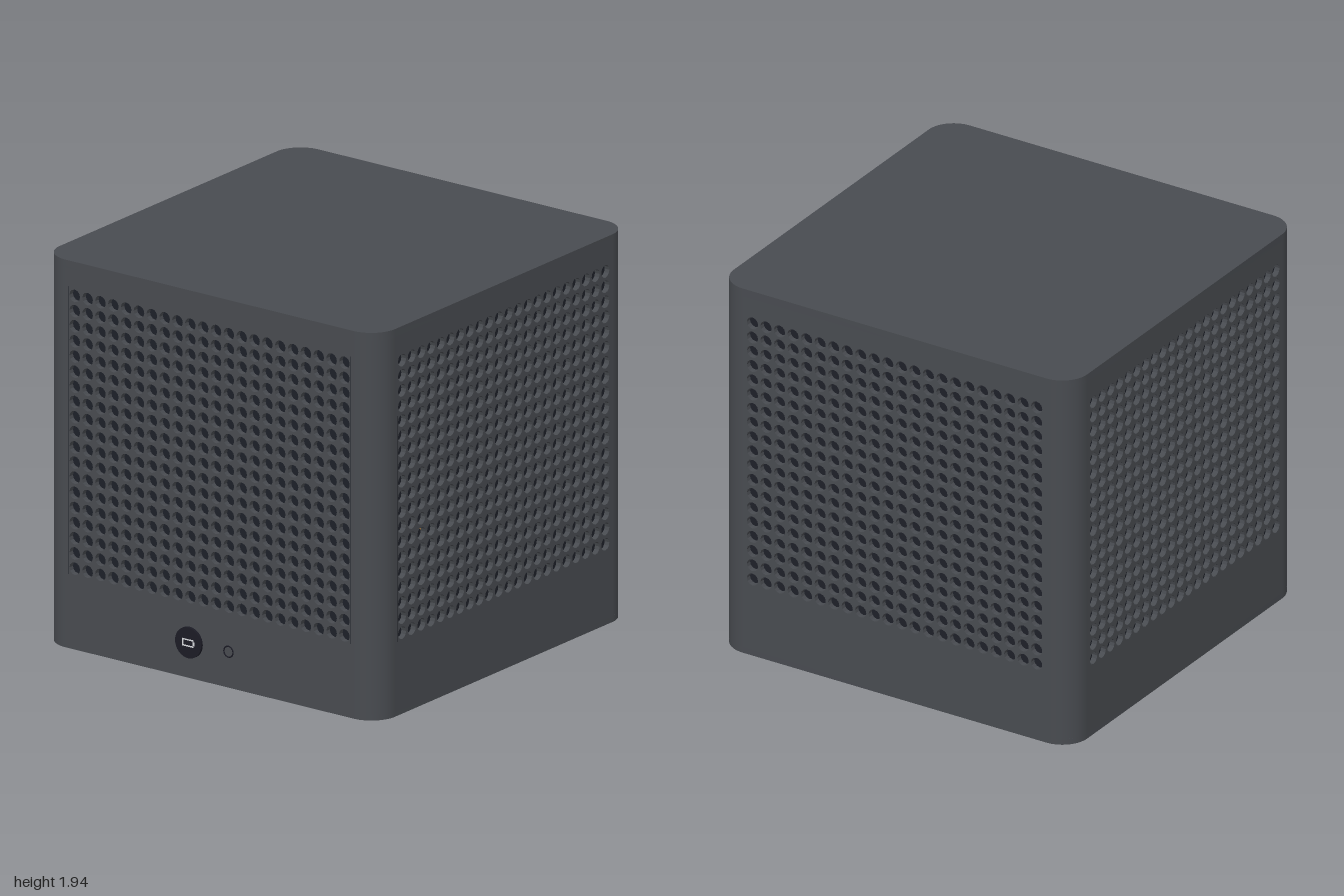
import * as THREE from 'three';
import { toCreasedNormals } from 'three/addons/utils/BufferGeometryUtils.js';

const mat = (name, color, side = THREE.FrontSide) => {
  const m = new THREE.MeshStandardMaterial({ color, side });
  m.name = name;
  return m;
};
const M = {
  shell: mat('charcoal shell', 0x484b50),
  liner: mat('dark liner', 0x1d2028, THREE.DoubleSide),
  panel: mat('base panel grey', 0x585d60),
  black: mat('black plastic', 0x1b1b25),
  metal: mat('cell silver', 0xc8cacc),
  trim: mat('trim grey', 0xb4b9bb),
  amber: mat('amber tape', 0xcc8833),
  orange: mat('orange cable', 0xe0912a),
  white: mat('icon white', 0xd8dadd),
};

const HALF = 0.9925, R = 0.14, HEIGHT = 1.94, RIM = 0.03, CAP = 0.04, WALL = 0.028;

function add(parent, name, geo, material, x = 0, y = 0, z = 0) {
  const mesh = new THREE.Mesh(geo, material);
  mesh.name = name;
  mesh.position.set(x, y, z);
  parent.add(mesh);
  return mesh;
}

function roundedRect(w, h, r, Type = THREE.Shape) {
  const s = new Type();
  s.absarc(w - r, h - r, r, 0, Math.PI / 2);
  s.absarc(-w + r, h - r, r, Math.PI / 2, Math.PI);
  s.absarc(-w + r, -h + r, r, Math.PI, Math.PI * 1.5);
  s.absarc(w - r, -h + r, r, Math.PI * 1.5, Math.PI * 2);
  s.closePath();
  return s;
}

// rectangle outline; half sizes a, b around a centre
function rect(a, b, cx = 0, cy = 0, Type = THREE.Shape) {
  return new Type([[-a, -b], [a, -b], [a, b], [-a, b]].map(([x, y]) => new THREE.Vector2(cx + x, cy + y)));
}

const extrude = (shape, depth) =>
  new THREE.ExtrudeGeometry(shape, { depth, bevelEnabled: false, curveSegments: 12 });

// horizontal plate: shape y becomes -z, thickness grows upwards
const plate = (shape, depth) => toCreasedNormals(extrude(shape, depth).rotateX(-Math.PI / 2), 0.6);

function frame(a, b, t, depth) {
  const s = rect(a, b);
  s.holes.push(rect(a - t, b - t, 0, 0, THREE.Path));
  return plate(s, depth);
}

// one perforated wall, 22 x 19 round holes
function wallGeometry() {
  const w = HALF - R, top = HEIGHT - CAP;
  const s = rect(w, (top - RIM) / 2, 0, (top + RIM) / 2);
  for (let i = 0; i < 22; i++) {
    for (let j = 0; j < 19; j++) {
      const cx = (i - 10.5) * 0.076, cy = 0.405 + j * 0.0758;
      const pts = [];
      for (let k = 0; k < 12; k++) {
        const a = -k / 12 * Math.PI * 2;
        pts.push(new THREE.Vector2(cx + 0.0315 * Math.cos(a), cy + 0.0315 * Math.sin(a)));
      }
      s.holes.push(new THREE.Path(pts));
    }
  }
  return extrude(s, WALL);
}

function buildShell(body) {
  const wall = wallGeometry();
  const mid = (HEIGHT - CAP + RIM) / 2, tall = HEIGHT - CAP - RIM;
  ['front', 'left', 'back', 'right'].forEach((side, i) => {
    const g = new THREE.Group();
    g.name = side + 'Side';
    g.rotation.y = i * Math.PI / 2;
    add(g, 'grille', wall, M.shell, 0, 0, HALF - WALL);
    add(g, 'grilleLiner', new THREE.PlaneGeometry(1.84, tall), M.liner, 0, mid, HALF - WALL - 0.03);
    const c = HALF - R;
    add(g, 'roundedCorner', new THREE.CylinderGeometry(R, R, tall, 14, 1, true, 0, Math.PI / 2), M.shell, c, mid, c);
    body.add(g);
  });
  add(body, 'topCap', plate(roundedRect(HALF, HALF, R), CAP), M.shell, 0, HEIGHT - CAP);
  const rim = roundedRect(HALF, HALF, R);
  rim.holes.push(roundedRect(HALF - 0.04, HALF - 0.04, R - 0.03, THREE.Path));
  add(body, 'bottomRim', plate(rim, RIM), M.shell);

  // hairline seams beside the grilles
  for (const x of [-0.836, 0.836])
    add(body, 'frontSeam', new THREE.BoxGeometry(0.004, 1.44, 0.002), M.liner, x, 1.09, HALF);
  add(body, 'sideSeam', new THREE.BoxGeometry(0.002, 1.13, 0.004), M.liner, HALF, 0.935, 0.836);

  // bit of cable showing through a hole
  const arc = new THREE.TorusGeometry(0.02, 0.009, 6, 8, Math.PI / 2).rotateZ(Math.PI / 2);
  const cable = add(body, 'cableGlimpse', arc, M.orange, HALF - 0.04, 0.86, 0.574);
  cable.rotation.y = Math.PI / 2;
}

function buildControls(body) {
  const g = new THREE.Group();
  g.name = 'frontControls';
  g.position.set(0, 0.18, HALF);
  const disc = new THREE.CylinderGeometry(0.077, 0.077, 0.022, 32).rotateX(Math.PI / 2);
  add(g, 'powerButton', disc, M.black, -0.117, 0, 0.003);
  const icon = rect(0.034, 0.019);
  icon.holes.push(rect(0.027, 0.012, 0, 0, THREE.Path));
  add(g, 'batteryIcon', extrude(icon, 0.001), M.white, -0.118, 0, 0.014);
  add(g, 'batteryIconTip', new THREE.BoxGeometry(0.006, 0.018, 0.001), M.white, -0.081, 0, 0.0145);
  add(g, 'indicatorRing', new THREE.TorusGeometry(0.027, 0.0035, 8, 24), M.black, 0.112, 0, 0);
  body.add(g);
}

function buildBase(body) {
  const g = new THREE.Group();
  g.name = 'underside';
  const y = RIM; // underside of the recessed panel

  // panel with battery window (shape y is -z)
  const s = roundedRect(HALF - 0.02, HALF - 0.02, R - 0.02);
  s.holes.push(rect(0.6, 0.46, 0, 0.285, THREE.Path));
  add(g, 'basePanel', plate(s, 0.02), M.panel, 0, y);
  add(g, 'windowFrame', frame(0.63, 0.49, 0.025, 0.008), M.trim, 0, y - 0.008, -0.285);

  // battery bay with two columns of four cells
  add(g, 'batteryBayFloor', new THREE.BoxGeometry(1.3, 0.02, 1.05), M.liner, 0, 0.31, -0.285);
  add(g, 'batteryBayWalls', frame(0.65, 0.525, 0.02, 0.25), M.liner, 0, 0.05, -0.285);
  const cell = new THREE.CylinderGeometry(0.113, 0.113, 0.58, 28).rotateZ(Math.PI / 2);
  for (const x of [-0.3, 0.3])
    for (let i = 0; i < 4; i++)
      add(g, 'batteryCell', cell, M.metal, x, 0.175, -0.285 + (i - 1.5) * 0.232);
  add(g, 'tapeBand', new THREE.BoxGeometry(0.13, 0.008, 0.92), M.amber, -0.2, 0.055, -0.285);

  // circuit board, its wires and a small plug beside the cells
  add(g, 'circuitBoard', new THREE.BoxGeometry(0.52, 0.01, 0.13), M.black, 0.33, 0.062, 0.11);
  add(g, 'plug', new THREE.BoxGeometry(0.07, 0.02, 0.05), M.black, 0.22, 0.055, -0.28);
  const wire = new THREE.CatmullRomCurve3([[0.54, 0.052, 0.08], [0.42, 0.05, 0.12], [0.32, 0.05, 0.07], [0.2, 0.052, 0.1]]
    .map(p => new THREE.Vector3(...p)));
  add(g, 'batteryWire', new THREE.TubeGeometry(wire, 24, 0.008, 6), M.orange);

  // retaining strap with a screw at each end
  add(g, 'strap', new THREE.BoxGeometry(0.14, 0.012, 1.1), M.black, 0, y - 0.014, -0.245);
  const boss = new THREE.CylinderGeometry(0.045, 0.045, 0.014, 20);
  for (const z of [-0.75, 0.26]) add(g, 'strapScrew', boss, M.trim, 0, y - 0.021, z);

  // corner screws
  const screw = new THREE.CylinderGeometry(0.03, 0.03, 0.01, 16);
  for (const x of [-0.85, 0.85])
    for (const z of [-0.85, 0.85]) add(g, 'cornerScrew', screw, M.trim, x, y - 0.002, z);

  // three round sockets
  for (const z of [0.33, 0.56, 0.79]) {
    add(g, 'socketBody', new THREE.CylinderGeometry(0.09, 0.09, 0.024, 28), M.black, 0.4, y - 0.012, z);
    add(g, 'socketPin', new THREE.CylinderGeometry(0.03, 0.03, 0.006, 16), M.trim, 0.4, y - 0.025, z);
  }

  // framed ports and display window: x, z, half width, half depth, frame width
  for (const [name, x, z, a, b, t] of [['smallPort', 0.69, 0.54, 0.055, 0.11, 0.03],
    ['largePort', 0.12, 0.47, 0.08, 0.12, 0.04], ['displayWindow', -0.34, 0.58, 0.31, 0.17, 0.02]]) {
    add(g, name + 'Frame', frame(a, b, t, 0.012), M.trim, x, y - 0.012, z);
    add(g, name, new THREE.BoxGeometry(2 * (a - t), 0.008, 2 * (b - t)), M.black, x, y - 0.002, z);
  }
  body.add(g);
}

export function createModel() {
  const model = new THREE.Group();
  model.name = 'perforatedCube';
  const body = new THREE.Group();
  body.name = 'body';
  body.position.z = -0.0075;
  buildShell(body);
  buildControls(body);
  buildBase(body);
  model.add(body);
  return model;
}
